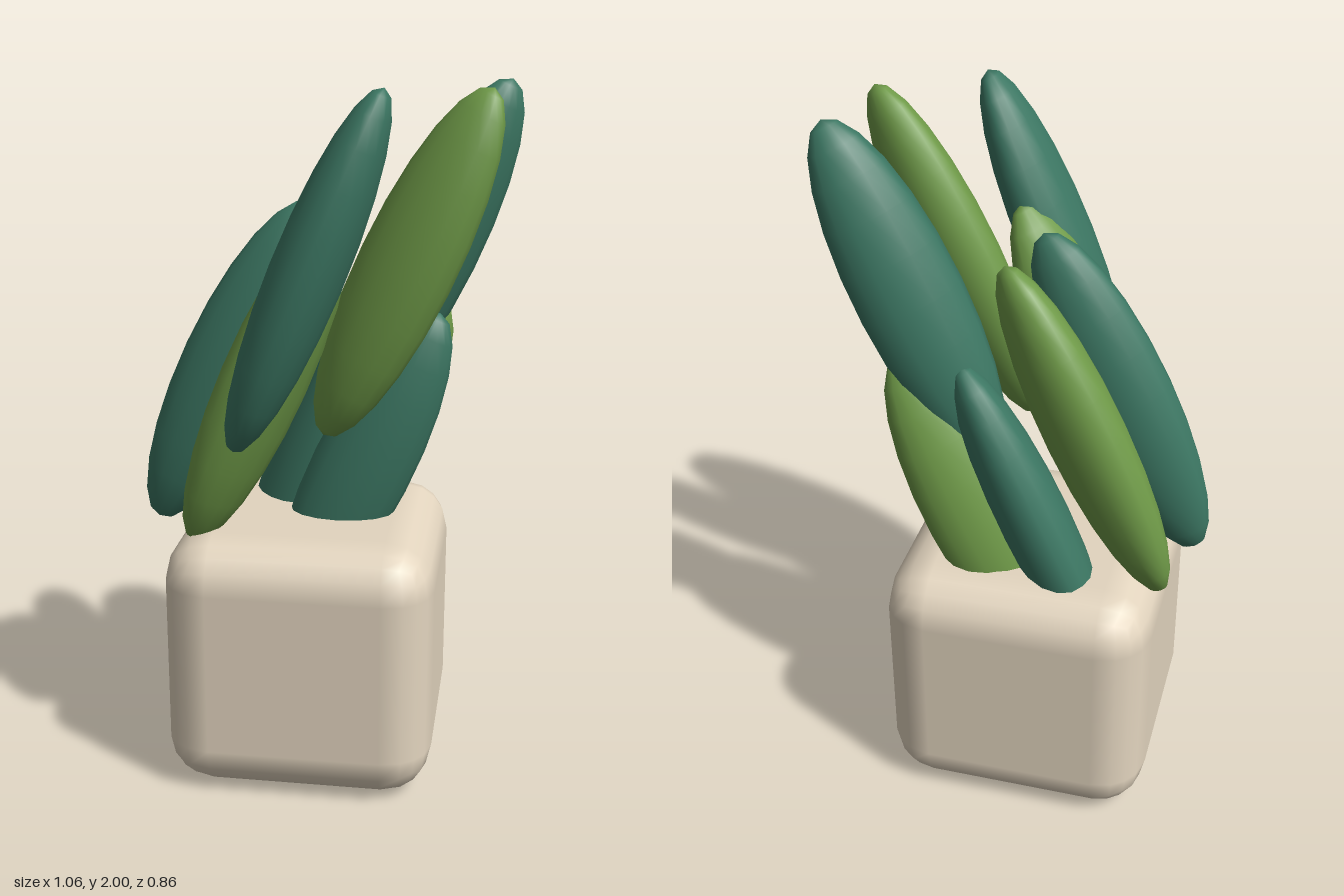
import * as THREE from 'three';
import { RoundedBoxGeometry } from 'three/addons/geometries/RoundedBoxGeometry.js';

const DEG = Math.PI / 180;

export function createModel() {
  const model = new THREE.Group();
  model.name = 'pottedSucculent';

  const clay = new THREE.MeshStandardMaterial({ color: 0xe3d5bf });
  const teal = new THREE.MeshStandardMaterial({ color: 0x3c7763 });
  const lime = new THREE.MeshStandardMaterial({ color: 0x6f9a48 });

  // Solid pot with soft rounded edges
  const pot = new THREE.Mesh(new RoundedBoxGeometry(0.77, 0.76, 0.77, 2, 0.14), clay);
  pot.name = 'pot';
  pot.position.set(-0.045, 0.38, -0.045);
  model.add(pot);

  // One flattened, elongated leaf shared by the whole plant
  const leafGeometry = new THREE.SphereGeometry(1, 16, 12);
  leafGeometry.scale(0.145, 0.523, 0.1);

  // Each leaf: material, centre x, y, z, lean towards +x and twist about its own axis (degrees)
  const tiers = {
    lowerLeaf: [
      [teal, 0.1, 0.885, -0.04, 25, 0],
      [teal, -0.07, 0.885, -0.2, 24, -60],
      [lime, 0.1, 0.885, -0.195, 24.5, 30],
    ],
    middleLeaf: [
      [teal, -0.265, 1.2, 0.01, 26, 0],
      [lime, -0.21, 1.2, -0.21, 25, -42],
      [lime, -0.145, 1.2, 0.16, 23.5, 54],
    ],
    upperLeaf: [
      [teal, -0.01, 1.515, 0.285, 22.5, 90],
      [lime, 0.235, 1.515, 0.127, 25, -34],
      [teal, 0.28, 1.515, -0.157, 24.5, 27],
    ],
  };

  for (const [name, leaves] of Object.entries(tiers)) {
    leaves.forEach(([material, x, y, z, lean, twist], i) => {
      const leaf = new THREE.Mesh(leafGeometry, material);
      leaf.name = `${name}${i + 1}`;
      leaf.position.set(x, y, z);
      // Twist first, then lean
      leaf.rotation.set(0, twist * DEG, -lean * DEG, 'ZYX');
      model.add(leaf);
    });
  }

  return model;
}
